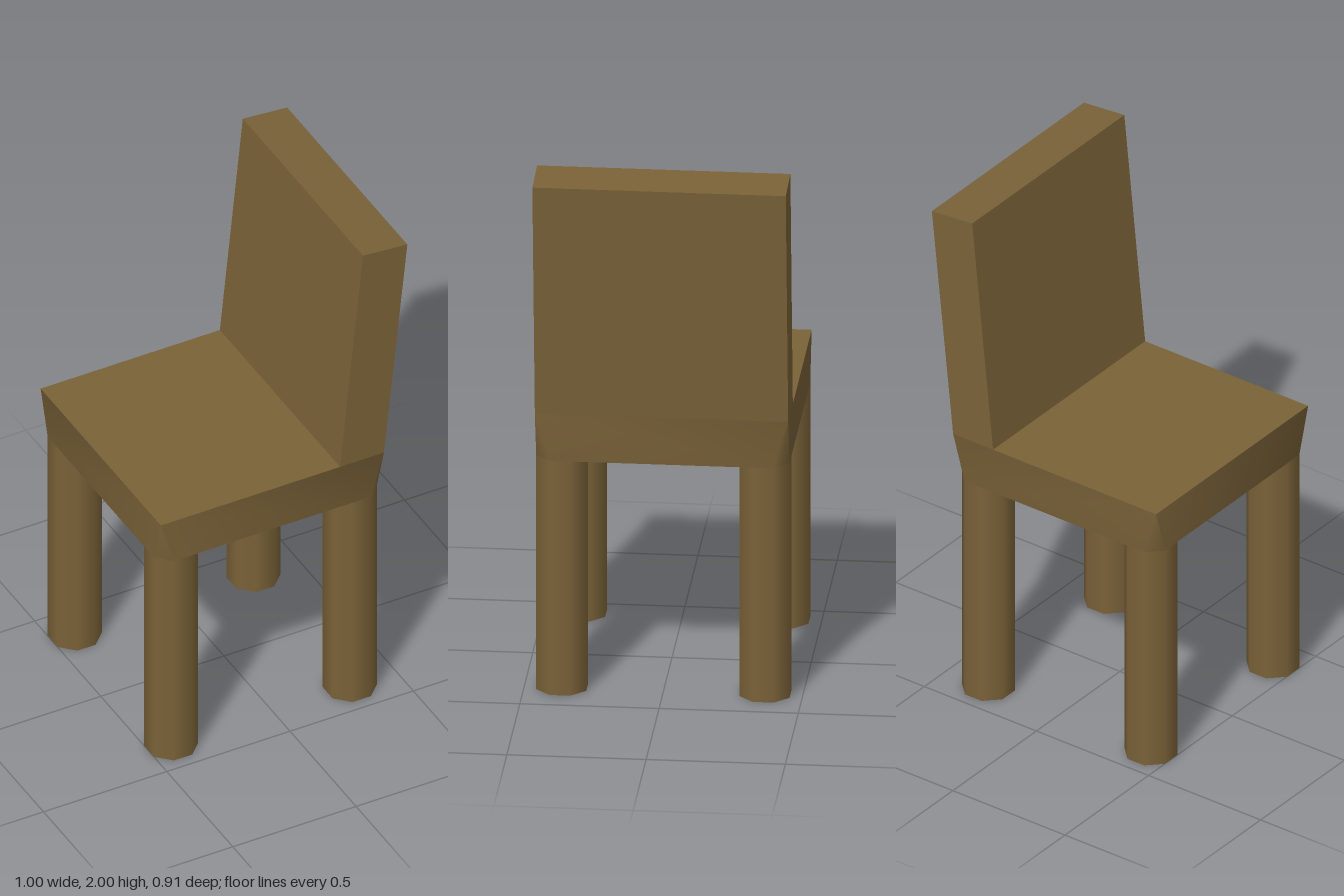
import * as THREE from 'three';
import { ConvexGeometry } from 'three/addons/geometries/ConvexGeometry.js';
import { toCreasedNormals } from 'three/addons/utils/BufferGeometryUtils.js';

const SEAT_LOW = 0.9, SEAT_TOP = 1.08;
const X_FRONT = -0.5, X_BACK = 0.405, HALF_Z = 0.455;
const LEG = 0.09; // distance from leg centre to each flat
const CUT = LEG * (1 - Math.tan(Math.PI / 8)); // corner cut that follows the octagonal leg

export function createModel() {
  const group = new THREE.Group();
  const wood = new THREE.MeshStandardMaterial({ color: 0x7a6238 });

  const add = (name, geometry) => {
    const mesh = new THREE.Mesh(geometry, wood);
    mesh.name = name;
    group.add(mesh);
    return mesh;
  };

  // Seat: sharp corners on top, narrowing to the leg outline below
  const seatPoints = [];
  for (const [x, inward] of [[X_FRONT, 1], [X_BACK, -1]]) {
    for (const side of [-1, 1]) {
      seatPoints.push(
        new THREE.Vector3(x, SEAT_TOP, side * HALF_Z),
        new THREE.Vector3(x + inward * CUT, SEAT_LOW, side * HALF_Z),
        new THREE.Vector3(x, SEAT_LOW, side * (HALF_Z - CUT))
      );
    }
  }
  add('seat', toCreasedNormals(new ConvexGeometry(seatPoints), 0.9));

  // Backrest: leaning slab rising from the rear strip of the seat
  const profile = [[0.227, SEAT_TOP], [X_BACK, SEAT_TOP], [0.5, 1.985], [0.32, 2]];
  const shape = new THREE.Shape(profile.map(([x, y]) => new THREE.Vector2(x, y)));
  const back = new THREE.ExtrudeGeometry(shape, { depth: HALF_Z * 2, bevelEnabled: false });
  back.translate(0, 0, -HALF_Z);
  add('backrest', back);

  // Legs: octagonal posts with flats facing the seat sides
  const radius = LEG / Math.cos(Math.PI / 8);
  const legGeometry = new THREE.CylinderGeometry(radius, radius, SEAT_LOW, 8);
  legGeometry.rotateY(Math.PI / 8);
  for (const [end, x] of [['front', X_FRONT + LEG], ['rear', X_BACK - LEG]]) {
    for (const side of [-1, 1]) {
      const leg = add(`${end}Leg${side > 0 ? 'A' : 'B'}`, legGeometry);
      leg.position.set(x, SEAT_LOW / 2, side * (HALF_Z - LEG));
    }
  }

  return group;
}
